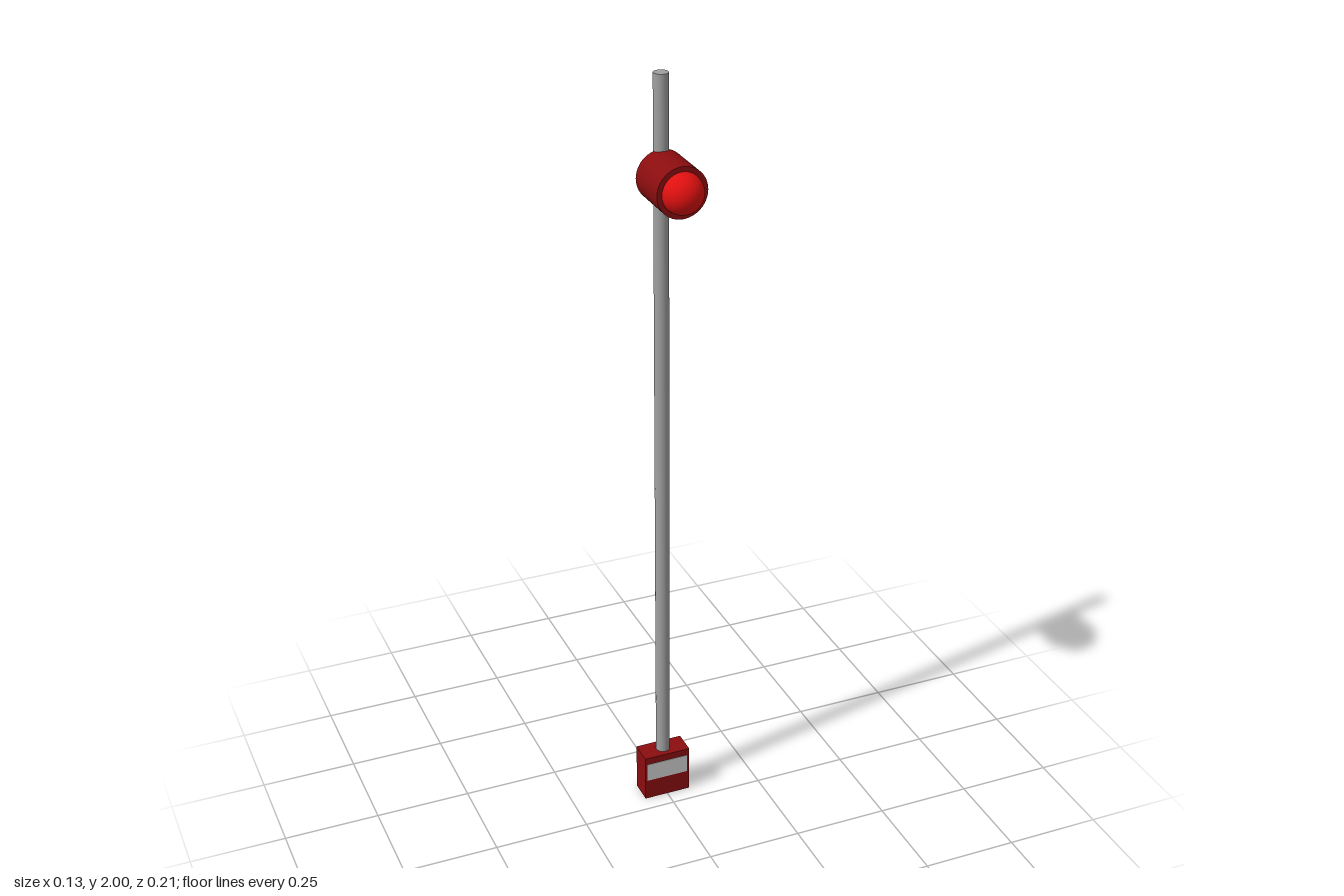
import * as THREE from 'three';

export function createModel() {
  const model = new THREE.Group();
  const darkRed = new THREE.MeshStandardMaterial({ color: 0x8b0d0f });
  const brightRed = new THREE.MeshStandardMaterial({ color: 0xe01010 });
  const metal = new THREE.MeshStandardMaterial({ color: 0xa0a0a0 });
  const plateGrey = new THREE.MeshStandardMaterial({ color: 0xcccccc });

  const axisZ = -0.075; // the pole's axis
  const lampY = 1.754;
  const lampFront = 0.053;

  function add(name, geometry, material, x, y, z) {
    const mesh = new THREE.Mesh(geometry, material);
    mesh.name = name;
    mesh.position.set(x, y, z);
    model.add(mesh);
    return mesh;
  }

  // Base block with a pale plate set on its front
  add('baseBlock', new THREE.BoxGeometry(0.127, 0.13, 0.063), darkRed, 0, 0.065, axisZ);
  add('frontPlate', new THREE.BoxGeometry(0.115, 0.052, 0.004), plateGrey, 0, 0.084, -0.0445);

  // Pole standing in the block
  add('pole', new THREE.CylinderGeometry(0.0185, 0.0185, 1.98, 32), metal, 0, 1.01, axisZ);

  // Lamp: closed drum lying along z, with a domed lens in front
  const length = lampFront - axisZ;
  const drum = new THREE.CylinderGeometry(0.0635, 0.0635, length, 48).rotateX(Math.PI / 2);
  add('lampHousing', drum, darkRed, 0, lampY, axisZ + length / 2);
  const dome = new THREE.SphereGeometry(0.051, 40, 16, 0, Math.PI * 2, 0, Math.PI / 2).rotateX(Math.PI / 2);
  add('lampLens', dome, brightRed, 0, lampY, lampFront);

  return model;
}
